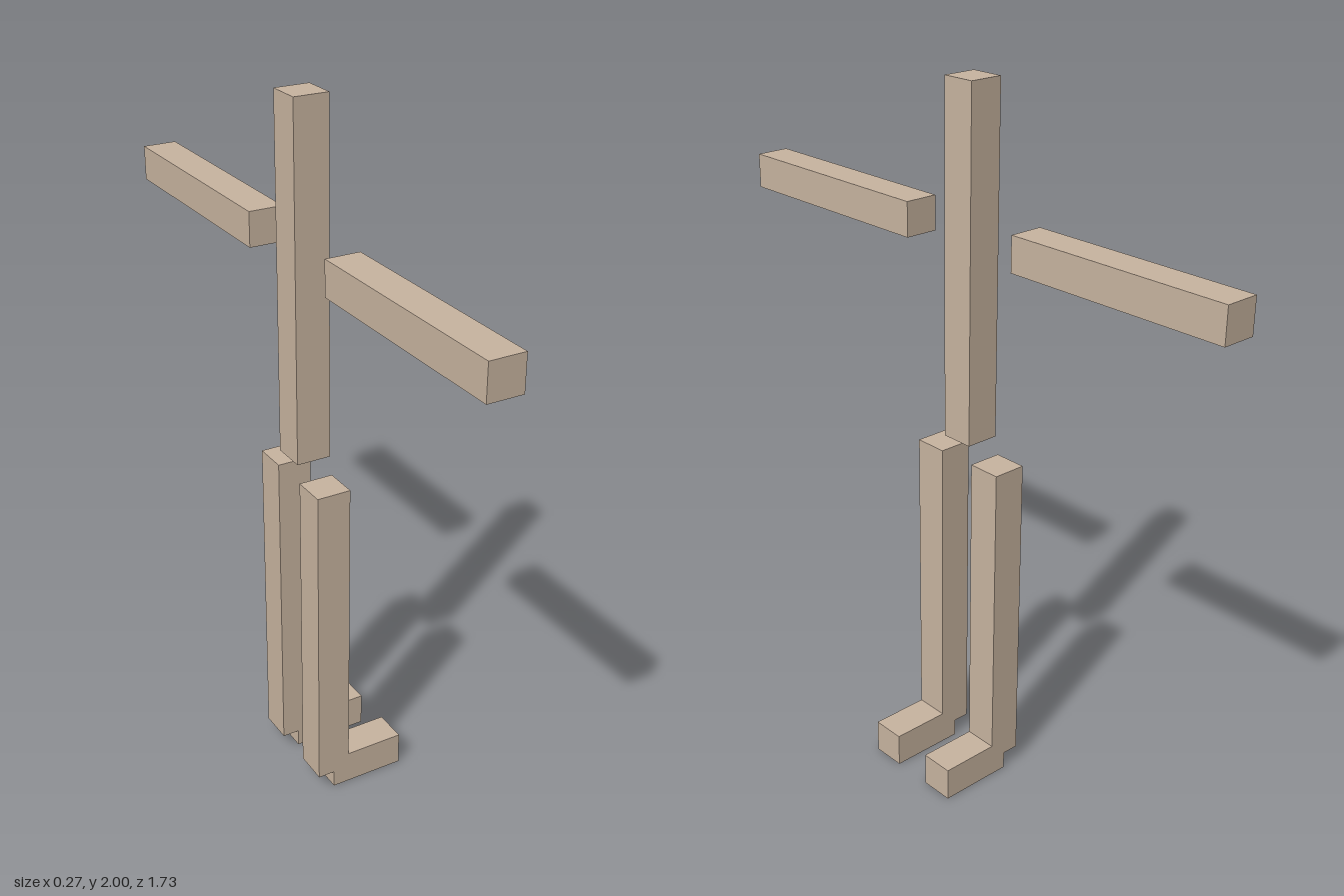
import * as THREE from 'three';

export function createModel() {
  const model = new THREE.Group();
  const tan = new THREE.MeshStandardMaterial({ color: 0xc8b4a0 });
  tan.name = 'tan';

  const T = 0.098;   // thickness shared by every bar
  const X = -0.086;  // the body sits behind centre, the feet reach forward to +x

  function bar(name, size, position) {
    const mesh = new THREE.Mesh(new THREE.BoxGeometry(...size), tan);
    mesh.name = name;
    mesh.position.set(...position);
    model.add(mesh);
  }

  // Upright trunk
  bar('torso', [T, 0.975, T], [X, 1.5125, 0]);

  // Mirrored limbs on both sides of the trunk
  for (const [side, s] of [['near', 1], ['far', -1]]) {
    bar(side + 'Arm', [T, T, 0.67], [X, 1.6, s * 0.532]);
    bar(side + 'Leg', [T, 0.923, T], [X, 0.5125, s * 0.108]);
    bar(side + 'Foot', [0.221, T, T], [0.0245, T / 2, s * 0.108]);
  }

  return model;
}
